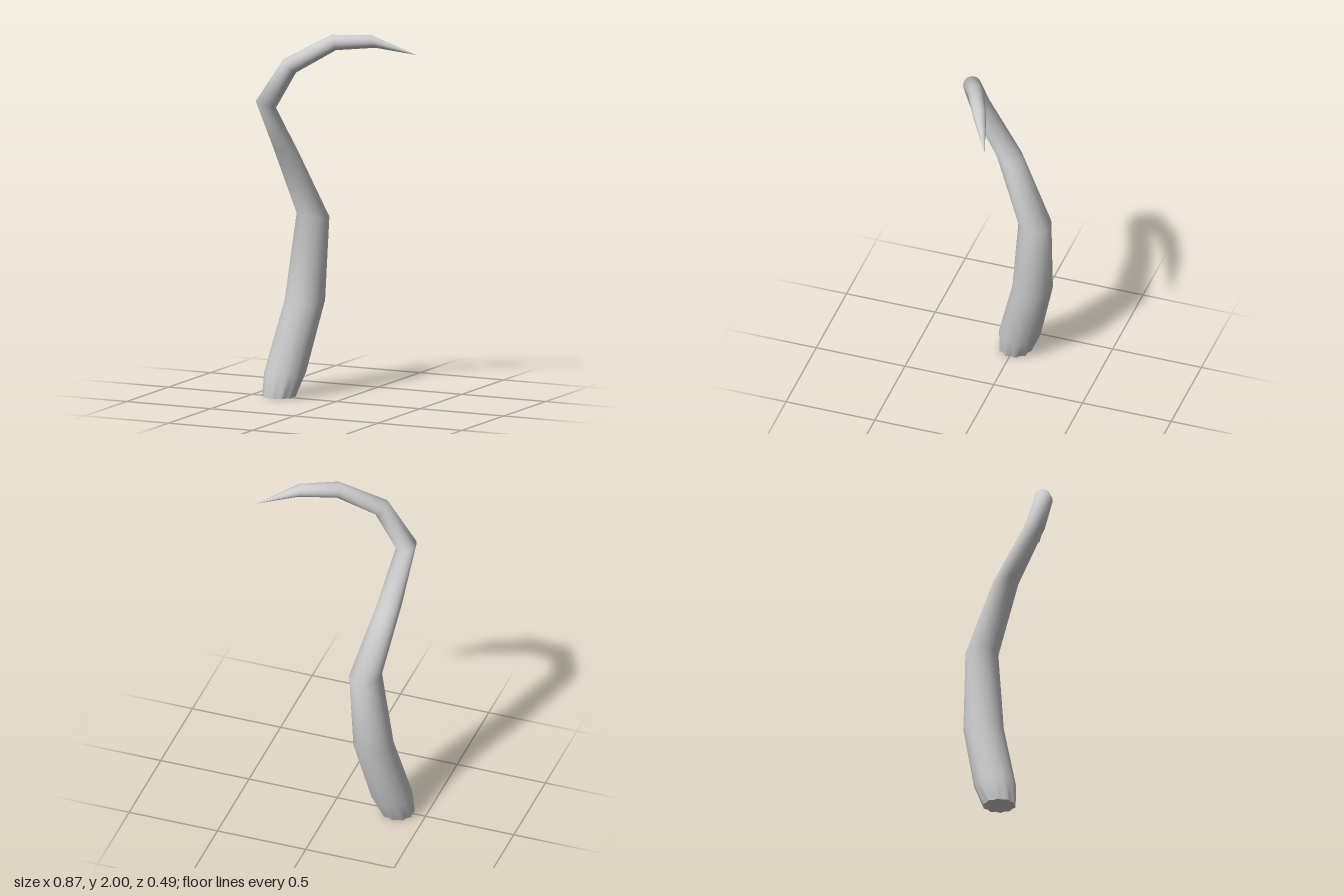
import * as THREE from 'three';

const SIDES = 40;

// Cross-sections from base to tip: centre, radius, facing direction
const RINGS = [
  { c: [-0.345, 0, -0.005], r: 0.084, n: [0, 1, 0], lobes: 0.006 },
  { c: [-0.323, 0.13, -0.038], r: 0.112, n: [0, 1, 0] },
  { c: [-0.253, 0.51, -0.133], r: 0.108, n: [0, 1, 0] },
  { c: [-0.217, 0.97, -0.158], r: 0.088, n: [0.12, 1, -0.03] },
  { c: [-0.29, 1.332, 0.01], r: 0.069, n: [0.14, 1, -0.1] },
  { c: [-0.324, 1.613, 0.19], r: 0.057, n: [0.27, 1, -0.2] },
  { c: [-0.185, 1.832, 0.184], r: 0.049, n: [1, 1, -0.28] },
  { c: [0.03, 1.961, 0.091], r: 0.043, n: [1, 0.33, -0.55] },
  { c: [0.222, 1.968, 0.004], r: 0.036, n: [1, 0.4, -0.5] },
  { c: [0.43, 1.896, -0.095], r: 0.0005, n: [1, -0.2, -0.45] },
];

// Points round one cross-section, lobed where asked
function ringPoints({ c, r, n, lobes = 0 }) {
  const centre = new THREE.Vector3(...c);
  const normal = new THREE.Vector3(...n).normalize();
  const u = new THREE.Vector3(0, 0, 1).projectOnPlane(normal).normalize();
  const v = new THREE.Vector3().crossVectors(normal, u);
  return Array.from({ length: SIDES }, (_, j) => {
    const a = (j / SIDES) * Math.PI * 2;
    const rad = r + lobes * Math.cos(a * 10);
    return centre.clone()
      .addScaledVector(u, rad * Math.cos(a))
      .addScaledVector(v, rad * Math.sin(a));
  });
}

function meshFrom(name, points, index) {
  const geometry = new THREE.BufferGeometry().setFromPoints(points);
  geometry.setIndex(index);
  geometry.computeVertexNormals();
  const mesh = new THREE.Mesh(geometry, new THREE.MeshStandardMaterial({ color: 0xcccccc }));
  mesh.name = name;
  return mesh;
}

export function createModel() {
  const group = new THREE.Group();
  group.name = 'tentacle';

  // Tapering, bent skin
  const skin = [];
  for (let i = 0; i < RINGS.length - 1; i++) {
    for (let j = 0; j < SIDES; j++) {
      const k = (j + 1) % SIDES;
      const a = i * SIDES + j, b = i * SIDES + k;
      skin.push(a, b, a + SIDES, b, b + SIDES, a + SIDES);
    }
  }
  group.add(meshFrom('tentacleSkin', RINGS.flatMap(ringPoints), skin));

  // Flat lobed underside
  const cap = [];
  for (let j = 0; j < SIDES; j++) cap.push(SIDES, (j + 1) % SIDES, j);
  const rim = ringPoints(RINGS[0]);
  group.add(meshFrom('baseCap', [...rim, new THREE.Vector3(...RINGS[0].c)], cap));

  return group;
}
